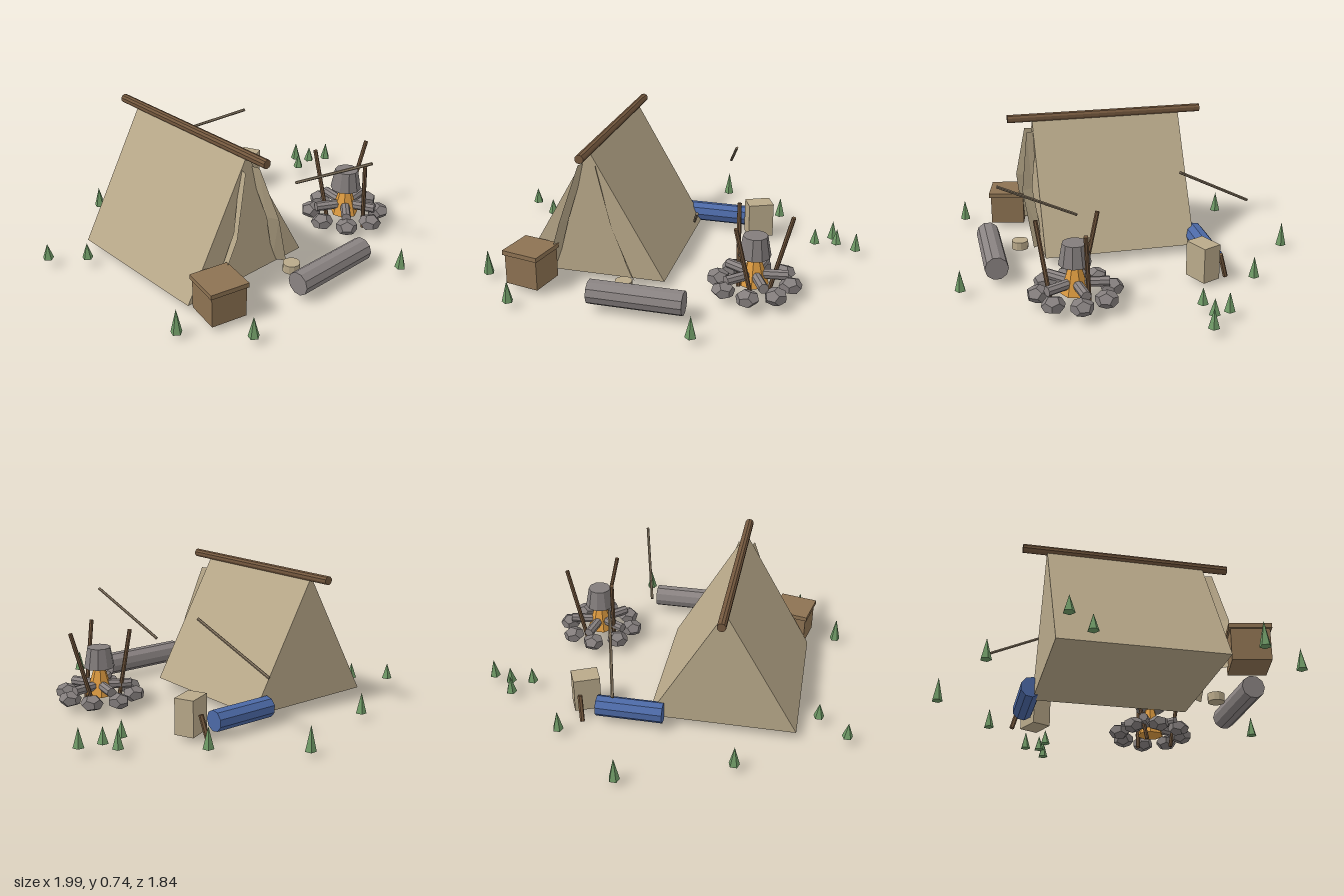
import * as THREE from 'three';

const paint = (name, color, extra = {}) => {
  const m = new THREE.MeshStandardMaterial({ color, flatShading: true, ...extra });
  m.name = name;
  return m;
};

export function createModel() {
  const canvas = paint('canvas', 0xb9a98a, { side: THREE.DoubleSide });
  const darkWood = paint('darkWood', 0x74583e);
  const crateWood = paint('crateWood', 0x8d7252);
  const paleWood = paint('paleWood', 0x8a7a64);
  const stone = paint('stone', 0x837d7c);
  const bark = paint('bark', 0x8a8382);
  const blue = paint('blueCloth', 0x4c69a6);
  const flame = paint('flame', 0xdc9a40);
  const green = paint('grass', 0x6f9a66);

  const model = new THREE.Group();
  const add = (name, geo, mat, x = 0, y = 0, z = 0, parent = model) => {
    const m = new THREE.Mesh(geo, mat);
    m.name = name;
    m.position.set(x, y, z);
    parent.add(m);
    return m;
  };
  // Straight round bar between two points
  const rod = (name, a, b, r, mat, sides = 8, parent = model) => {
    const p = new THREE.Vector3(...a), q = new THREE.Vector3(...b);
    const d = q.clone().sub(p);
    const m = add(name, new THREE.CylinderGeometry(r, r, d.length(), sides), mat, 0, 0, 0, parent);
    m.position.copy(p).add(q).multiplyScalar(0.5);
    m.quaternion.setFromUnitVectors(new THREE.Vector3(0, 1, 0), d.normalize());
    return m;
  };

  // Tent: closed triangular prism under a ridge pole
  const tent = new THREE.Group();
  tent.name = 'tent';
  tent.position.x = -0.33;
  model.add(tent);
  const gable = new THREE.Shape([[-0.385, 0.045], [0.385, 0.045], [0, 0.72]].map(p => new THREE.Vector2(...p)));
  add('tentBody', new THREE.ExtrudeGeometry(gable, { depth: 0.83, bevelEnabled: false }), canvas, 0, 0, -0.41, tent);
  rod('ridgePole', [0, 0.72, -0.535], [0, 0.72, 0.555], 0.023, darkWood, 10, tent);

  // Door flaps: strips that bow outwards at mid height; x, y, z, width
  const stations = [[0.045, 0.65, 0.43, 0.02], [0.14, 0.35, 0.475, 0.03], [0.24, 0.05, 0.435, 0.04]];
  for (const side of [-1, 1]) {
    const pos = [], index = [];
    stations.forEach(([x, y, z, w], i) => {
      pos.push(side * (x - w), y, z - 0.03, side * x, y, z + 0.028);
      if (i) index.push(2 * i - 2, 2 * i, 2 * i - 1, 2 * i - 1, 2 * i, 2 * i + 1);
    });
    const geo = new THREE.BufferGeometry();
    geo.setAttribute('position', new THREE.Float32BufferAttribute(pos, 3));
    geo.setIndex(index);
    geo.computeVertexNormals();
    add(side > 0 ? 'leftFlap' : 'rightFlap', geo, canvas, 0, 0, 0, tent);
  }

  // Slanted poles beside the tent
  for (const z of [0.27, -0.66])
    rod('guyPole', [0.175, 0.333, z], [0.285, 0.56, z + 0.412], 0.008, paleWood, 6);

  // Crate with overhanging lid
  const crate = new THREE.Group();
  crate.name = 'crate';
  crate.position.set(-0.618, 0, 0.537);
  crate.rotation.y = -0.21;
  model.add(crate);
  add('crateBody', new THREE.BoxGeometry(0.188, 0.165, 0.188), crateWood, 0, 0.1125, 0, crate);
  add('crateLid', new THREE.BoxGeometry(0.206, 0.024, 0.206), crateWood, 0, 0.203, 0, crate);

  // Seat log, bedroll, small stool, pack and hatchet handle
  rod('seatLog', [-0.25, 0.095, 0.698], [0.23, 0.095, 0.698], 0.062, bark, 10);
  rod('bedroll', [-0.028, 0.085, -0.427], [0.325, 0.085, -0.427], 0.056, blue, 9);
  add('stool', new THREE.CylinderGeometry(0.045, 0.045, 0.045, 12), canvas, -0.125, 0.065, 0.535);
  add('pack', new THREE.BoxGeometry(0.14, 0.19, 0.105), canvas, 0.405, 0.117, -0.346).rotation.y = 0.42;
  rod('handle', [0.395, 0.005, -0.475], [0.412, 0.14, -0.437], 0.013, darkWood, 6);

  // Campfire: ring of stones, radial logs, flame, pot and leaning sticks
  const fire = new THREE.Group();
  fire.name = 'campfire';
  fire.position.set(0.503, 0, 0.342);
  model.add(fire);
  for (let i = 0; i < 8; i++) {
    const a = i * Math.PI / 4;
    const s = add('ringStone', new THREE.DodecahedronGeometry(0.061), stone,
      0.185 * Math.cos(a), 0.07, 0.185 * Math.sin(a), fire);
    s.scale.y = 0.72;
    s.rotation.y = i * 1.3;
  }
  for (let i = 0; i < 5; i++) {
    const a = (-80 + 72 * i) * Math.PI / 180, c = Math.cos(a), s = Math.sin(a);
    rod('fireLog', [0.03 * c, 0.115, 0.03 * s], [0.17 * c, 0.115, 0.17 * s], 0.026, bark, 8, fire);
  }
  add('flame', new THREE.ConeGeometry(0.075, 0.25, 7), flame, 0, 0.185, 0, fire);
  add('pot', new THREE.CylinderGeometry(0.063, 0.083, 0.11, 10), stone, 0, 0.27, 0, fire);
  const sticks = [
    [[0.415, 0.008, 0.3], [0.392, 0.43, 0.205]],
    [[0.575, 0.008, 0.285], [0.685, 0.43, 0.32]],
    [[0.52, 0.008, 0.465], [0.437, 0.43, 0.52]],
  ];
  for (const [a, b] of sticks) rod('leaningStick', a, b, 0.0115, darkWood, 7);

  // Scattered grass tufts: x, z, height
  const tufts = [
    [0.12, -0.895, 0.13], [-0.435, -0.695, 0.11], [0.49, -0.595, 0.11], [-0.972, -0.395, 0.085],
    [-0.82, -0.26, 0.085], [0.827, -0.345, 0.1], [0.74, -0.24, 0.085], [0.857, -0.26, 0.085],
    [0.965, -0.22, 0.1], [-0.87, 0.52, 0.13], [-0.64, 0.795, 0.11], [0.31, 0.89, 0.11],
  ];
  for (const [x, z, h] of tufts)
    add('grassTuft', new THREE.ConeGeometry(0.029, h, 5), green, x, 0.09, z);

  return model;
}
